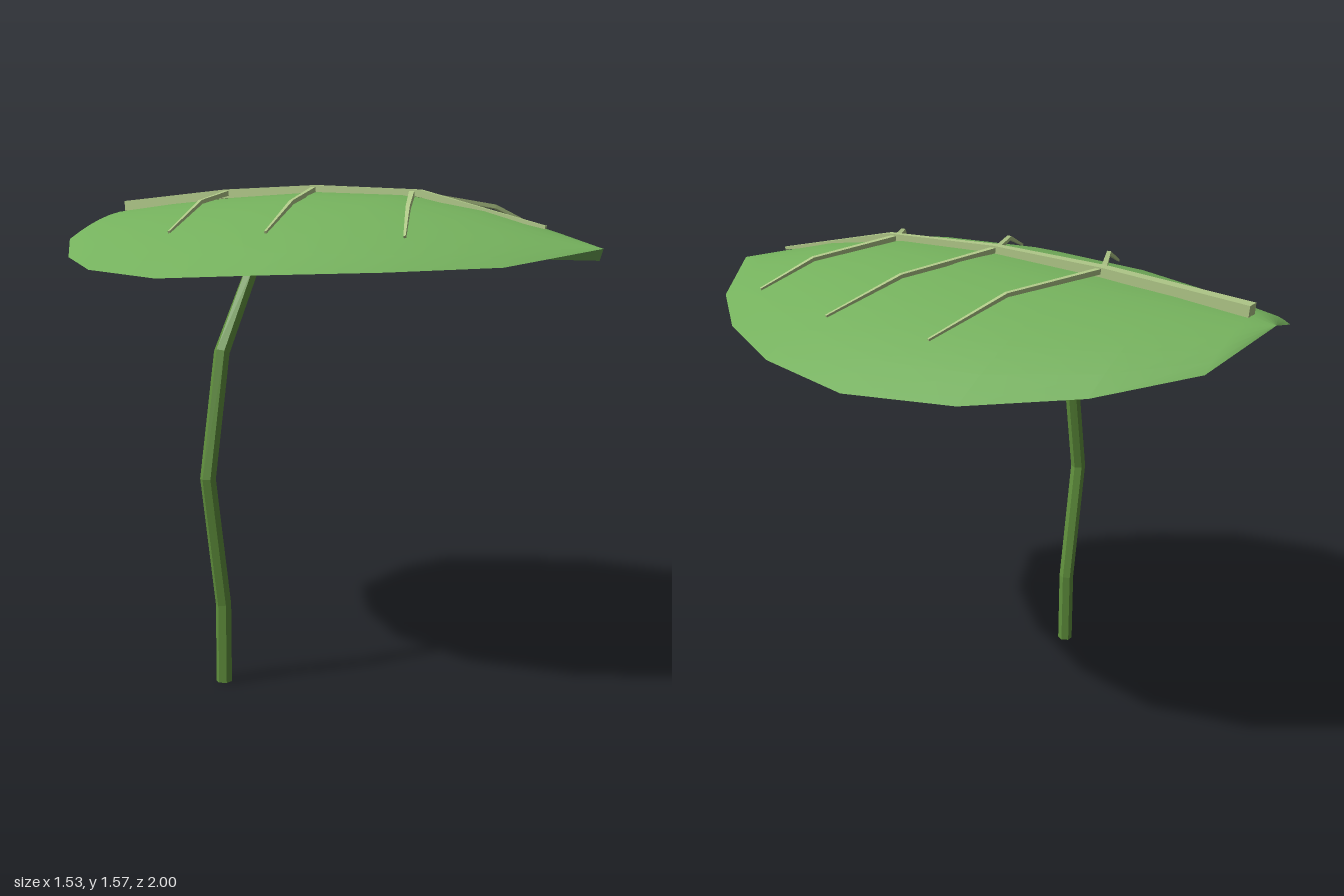
import * as THREE from 'three';

const V = (x, y, z) => new THREE.Vector3(x, y, z);

// Faceted rod through points; sizes = [half width, half height] per point
function rod(name, points, sizes, sides, side, turn, material) {
  const pos = [], idx = [];
  points.forEach((p, i) => {
    const before = points[Math.max(i - 1, 0)], after = points[Math.min(i + 1, points.length - 1)];
    const tIn = p.clone().sub(before).normalize(), tOut = after.clone().sub(p).normalize();
    const t = tIn.add(tOut).normalize();
    const u = side.clone().addScaledVector(t, -side.dot(t)).normalize();
    const v = t.clone().cross(u);
    for (let k = 0; k < sides; k++) {
      const a = turn + (k / sides) * Math.PI * 2;
      const q = p.clone().addScaledVector(u, Math.cos(a) * sizes[i][0]).addScaledVector(v, Math.sin(a) * sizes[i][1]);
      pos.push(q.x, q.y, q.z);
    }
  });
  const last = (points.length - 1) * sides;
  for (let i = 0; i < last; i += sides) {
    for (let k = 0; k < sides; k++) {
      const n = (k + 1) % sides;
      idx.push(i + k, i + n, i + sides + n, i + k, i + sides + n, i + sides + k);
    }
  }
  // End caps
  for (let k = 1; k < sides - 1; k++) idx.push(0, k + 1, k, last, last + k, last + k + 1);
  const g = new THREE.BufferGeometry();
  g.setAttribute('position', new THREE.Float32BufferAttribute(pos, 3));
  g.setIndex(idx);
  const flat = g.toNonIndexed();
  flat.computeVertexNormals();
  const mesh = new THREE.Mesh(flat, material);
  mesh.name = name;
  return mesh;
}

// Domed blade: rows of [z, half width, midrib height, rim height]
function leafBlade() {
  const rows = [
    [-1, 0, 1.47, 1.47], [-0.925, 0.29, 1.487, 1.39], [-0.69, 0.51, 1.512, 1.34],
    [-0.39, 0.70, 1.535, 1.315], [-0.04, 0.765, 1.553, 1.303], [0.30, 0.69, 1.543, 1.32],
    [0.60, 0.51, 1.495, 1.33], [0.84, 0.28, 1.432, 1.342], [1, 0, 1.39, 1.39],
  ];
  const cols = 12, pos = [], idx = [];
  rows.forEach(([z, w, mid, rim], i) => {
    for (let j = 0; j <= cols; j++) {
      const u = (j / cols) * 2 - 1;
      pos.push(u * w, mid + (rim - mid) * Math.abs(u) ** 1.7, z);
      if (i < rows.length - 1 && j < cols) {
        const a = i * (cols + 1) + j, b = a + cols + 1;
        idx.push(a, b, b + 1, a, b + 1, a + 1);
      }
    }
  });
  const g = new THREE.BufferGeometry();
  g.setAttribute('position', new THREE.Float32BufferAttribute(pos, 3));
  g.setIndex(idx);
  g.computeVertexNormals();
  return g;
}

export function createModel() {
  const group = new THREE.Group();
  const leafMat = new THREE.MeshStandardMaterial({ color: 0x74b05c, side: THREE.DoubleSide });
  const stemMat = new THREE.MeshStandardMaterial({ color: 0x5f8f3c, flatShading: true });
  const veinMat = new THREE.MeshStandardMaterial({ color: 0xb0c888, flatShading: true });

  const leaf = new THREE.Mesh(leafBlade(), leafMat);
  leaf.name = 'leafBlade';
  group.add(leaf);

  // Bent six-sided stem that leans in under the leaf
  const stemPath = [
    V(-0.445, 0, -0.077), V(-0.445, 0.255, -0.077), V(-0.51, 0.67, -0.077),
    V(-0.44, 1.06, -0.077), V(-0.25, 1.30, -0.12), V(-0.02, 1.49, -0.21),
  ];
  const r = [0.025, 0.025, 0.025, 0.025, 0.023, 0.02];
  group.add(rod('stem', stemPath, r.map((s) => [s, s]), 6, V(1, 0, 0), 0, stemMat));

  // Midrib, square in section, thinning toward the front tip
  const ribPath = [
    V(0, 1.503, -0.925), V(0, 1.546, -0.44), V(0, 1.561, -0.05), V(0, 1.548, 0.36), V(0, 1.448, 0.81),
  ];
  const ribSizes = [[0.03, 0.025], [0.025, 0.021], [0.02, 0.019], [0.015, 0.016], [0.007, 0.007]];
  group.add(rod('midrib', ribPath, ribSizes, 4, V(1, 0, 0), Math.PI / 4, veinMat));

  // Three mirrored pairs of side veins
  const veins = [
    [[0, 1.55, -0.44], [0.30, 1.52, -0.29], [0.55, 1.43, -0.19]],
    [[0, 1.562, -0.06], [0.30, 1.52, 0.09], [0.54, 1.435, 0.19]],
    [[0, 1.548, 0.33], [0.24, 1.505, 0.485], [0.39, 1.425, 0.58]],
  ];
  for (const path of veins) {
    for (const s of [1, -1]) {
      const points = path.map(([x, y, z]) => V(s * x, y, z));
      group.add(rod(s > 0 ? 'leftVein' : 'rightVein', points,
        [[0.012, 0.012], [0.009, 0.009], [0.005, 0.005]], 4, V(0, 0, 1), Math.PI / 4, veinMat));
    }
  }
  return group;
}
